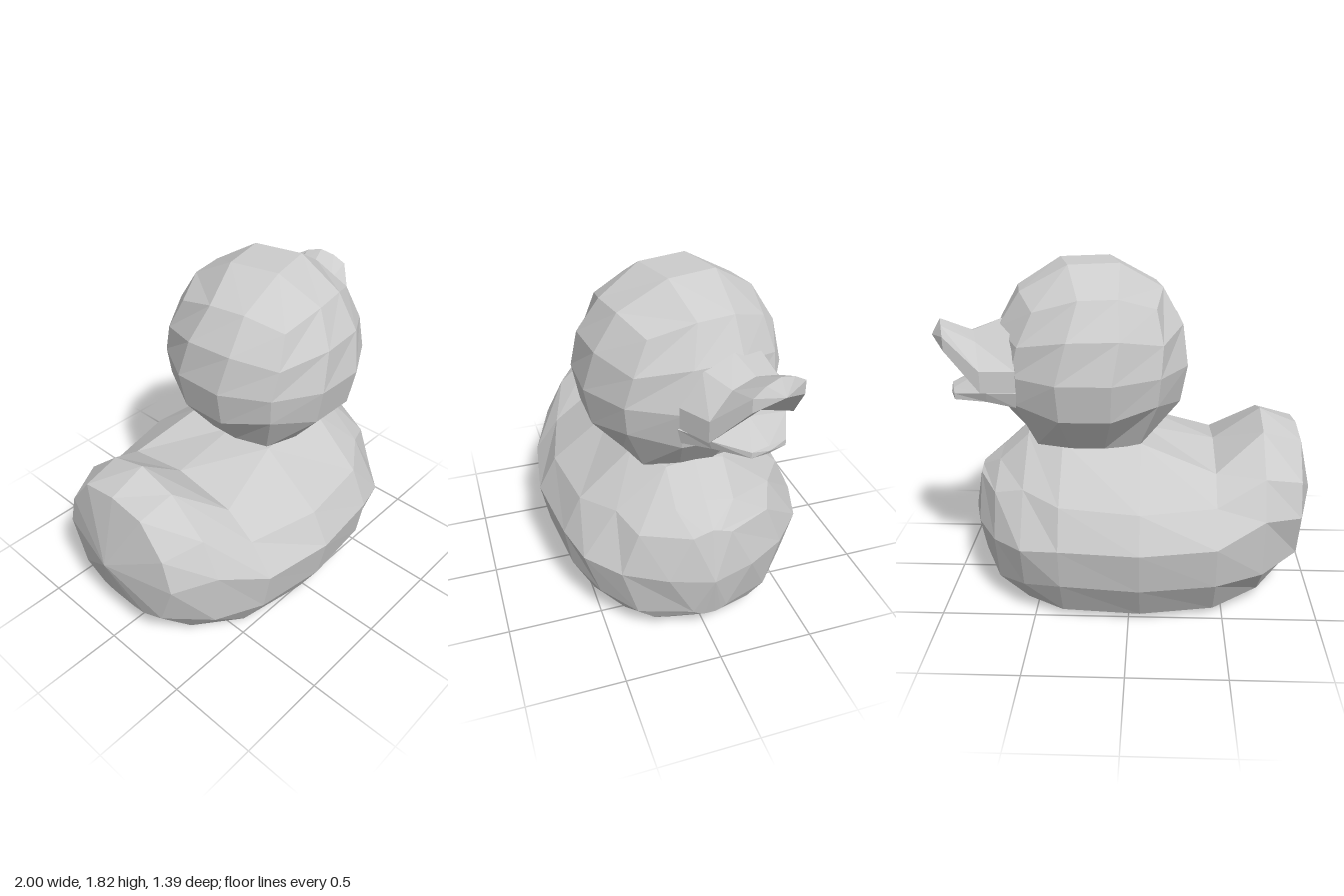
import * as THREE from 'three';
import { mergeVertices } from 'three/addons/utils/BufferGeometryUtils.js';

const material = new THREE.MeshStandardMaterial({ color: 0xcccccc, flatShading: true });

function addMesh(parent, name, geometry) {
  geometry.computeVertexNormals();
  const mesh = new THREE.Mesh(geometry, material);
  mesh.name = name;
  parent.add(mesh);
  return mesh;
}

// Skins mirrored cross-sections along x. Each section is [x, [z, y], [z, y], ...]
// from top centre to bottom centre; start and end are [x, y] cap points.
function loft(sections, start, end) {
  const pos = [], index = [];
  for (const [x, ...half] of sections) {
    for (const [z, y] of half) pos.push(x, y, z);
    for (const [z, y] of half.slice(1, -1).reverse()) pos.push(x, y, -z);
  }
  const n = pos.length / 3 / sections.length;
  const last = (sections.length - 1) * n;
  const a = pos.length / 3, b = a + 1;
  pos.push(start[0], start[1], 0, end[0], end[1], 0);
  for (let j = 0; j < n; j++) {
    const k = (j + 1) % n;
    for (let i = 0; i < last; i += n) {
      index.push(i + j, i + k, i + n + k, i + j, i + n + k, i + n + j);
    }
    index.push(a, k, j, b, last + j, last + k);
  }
  const g = new THREE.BufferGeometry();
  g.setAttribute('position', new THREE.Float32BufferAttribute(pos, 3));
  g.setIndex(index);
  return g.toNonIndexed();
}

// Cube-sphere with a twisted crown and a flat underside sunk into the neck
function headGeometry() {
  let g = new THREE.BoxGeometry(2, 2, 2, 3, 4, 3);
  g.deleteAttribute('normal');
  g.deleteAttribute('uv');
  g = mergeVertices(g);
  const p = g.attributes.position, v = new THREE.Vector3();
  const up = new THREE.Vector3(0, 1, 0);
  const bend = (t) => Math.tan(t * Math.PI / 4);
  for (let i = 0; i < p.count; i++) {
    v.fromBufferAttribute(p, i);
    const underside = v.y < -0.99;
    v.set(bend(v.x), bend(v.y), bend(v.z)).normalize().multiplyScalar(0.53);
    if (underside) v.set(v.x * 0.87, -0.4, v.z * 0.84);
    else if (v.y > 0) {
      v.applyAxisAngle(up, 0.5 * v.y);
      v.y *= 1.05;
    }
    p.setXYZ(i, v.x, v.y, v.z);
  }
  return g.toNonIndexed();
}

export function createModel() {
  const model = new THREE.Group();
  model.name = 'bathDuck';

  // Body, from the raised tail to the chest
  addMesh(model, 'body', loft([
    [-0.9, [0, 0.94], [0.2, 0.91], [0.34, 0.73], [0.39, 0.55], [0.3, 0.3], [0.16, 0.23], [0.08, 0.22], [0, 0.22]],
    [-0.7, [0, 1.02], [0.21, 0.96], [0.42, 0.78], [0.52, 0.59], [0.49, 0.27], [0.3, 0.07], [0.18, 0.05], [0, 0.05]],
    [-0.45, [0, 0.84], [0.35, 0.78], [0.51, 0.66], [0.64, 0.49], [0.6, 0.26], [0.46, 0.04], [0.36, 0], [0, 0]],
    [-0.06, [0, 0.91], [0.27, 0.91], [0.6, 0.66], [0.695, 0.48], [0.65, 0.25], [0.53, 0.04], [0.45, 0], [0, 0]],
    [0.35, [0, 0.92], [0.27, 0.92], [0.55, 0.67], [0.645, 0.47], [0.61, 0.25], [0.5, 0.04], [0.42, 0], [0, 0]],
    [0.55, [0, 0.935], [0.15, 0.91], [0.41, 0.7], [0.585, 0.44], [0.51, 0.2], [0.38, 0.04], [0.3, 0], [0, 0]],
    [0.71, [0, 0.79], [0.15, 0.76], [0.34, 0.65], [0.43, 0.42], [0.35, 0.15], [0.26, 0.08], [0.18, 0.06], [0, 0.06]],
    [0.83, [0, 0.69], [0.04, 0.68], [0.1, 0.66], [0.22, 0.42], [0.09, 0.18], [0.06, 0.16], [0.03, 0.15], [0, 0.15]],
  ], [-1, 0.55], [0.89, 0.41]));

  const head = addMesh(model, 'head', headGeometry());
  head.position.set(0.215, 1.3, -0.01);

  // Beak, turned a little to one side
  const beak = new THREE.Group();
  beak.name = 'beak';
  beak.position.set(0.215, 0, -0.015);
  beak.rotation.y = 0.28;
  model.add(beak);

  // Arched upper beak with an upturned tip
  addMesh(beak, 'upperBeak', loft([
    [0.44, [0, 1.55], [0.17, 1.5], [0.29, 1.34], [0.29, 1.23], [0, 1.3]],
    [0.61, [0, 1.49], [0.13, 1.46], [0.25, 1.34], [0.25, 1.23], [0, 1.32]],
    [0.77, [0, 1.56], [0.08, 1.54], [0.15, 1.5], [0.15, 1.43], [0, 1.46]],
  ], [0.4, 1.38], [0.815, 1.48]));

  // Flat lower beak, sloping down to a narrow tip
  addMesh(beak, 'lowerBeak', loft([
    [0.44, [0, 1.3], [0.3, 1.23], [0.28, 1.15], [0, 1.13]],
    [0.58, [0, 1.27], [0.23, 1.22], [0.21, 1.17], [0, 1.14]],
    [0.73, [0, 1.19], [0.1, 1.19], [0.1, 1.16], [0, 1.15]],
  ], [0.4, 1.2], [0.74, 1.17]));

  return model;
}
